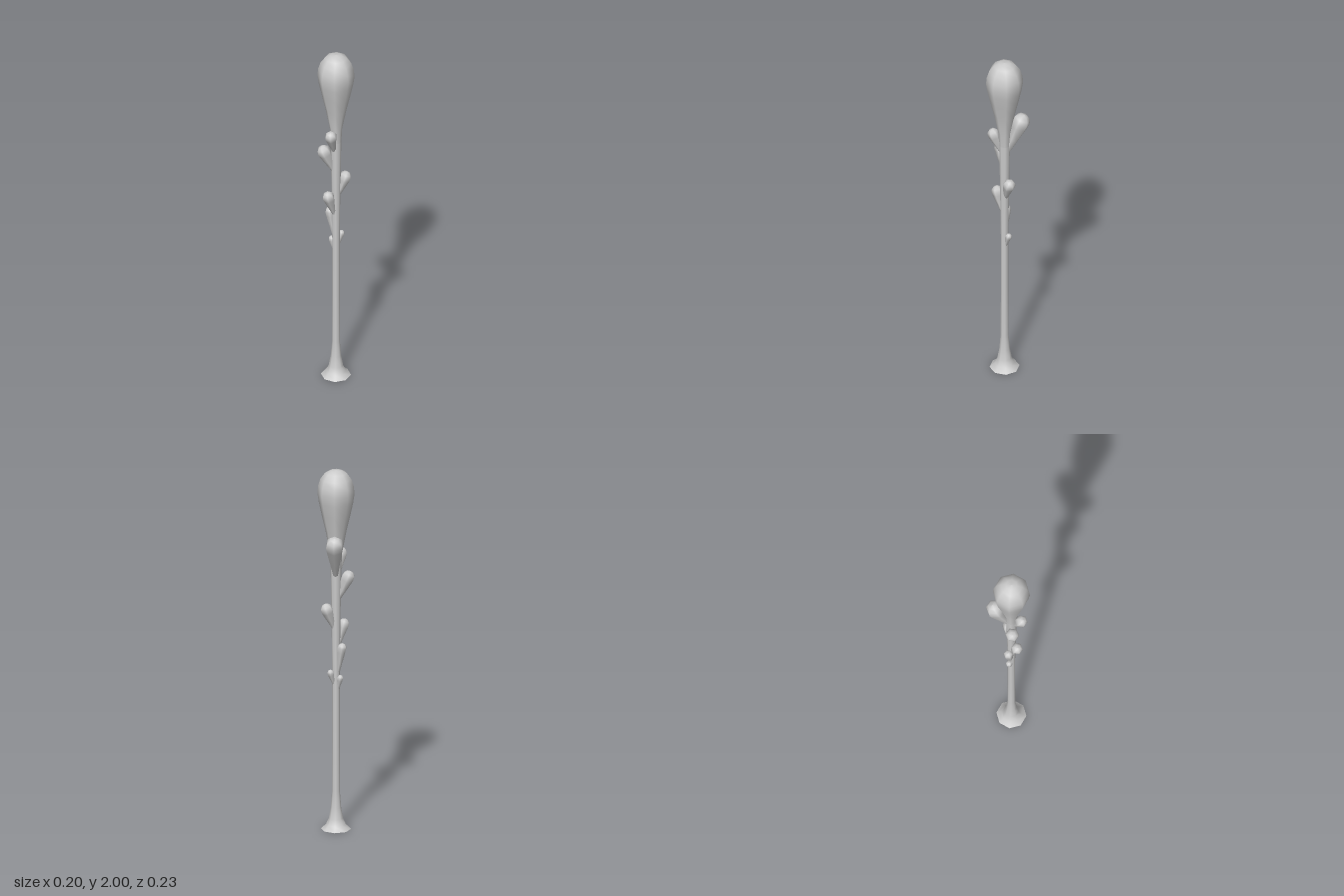
import * as THREE from 'three';

const AXIS_Z = 0.018; // the stem stands slightly forward of the centre

const material = new THREE.MeshStandardMaterial({ color: 0xcccccc, side: THREE.DoubleSide });

function lathe(name, profile, sides) {
  const points = profile.map(([r, y]) => new THREE.Vector2(r, y));
  const mesh = new THREE.Mesh(new THREE.LatheGeometry(points, sides), material);
  mesh.name = name;
  return mesh;
}

// Teardrop bud growing from a root point, with its widest ring around the head point
function bud(name, root, head, radius) {
  const start = new THREE.Vector3(...root);
  const dir = new THREE.Vector3(...head).sub(start);
  const L = dir.length();
  const r = radius;
  const mesh = lathe(name, [
    [r * 0.25, 0],
    [r * 0.6, L * 0.45],
    [r * 0.93, L * 0.85],
    [r, L],
    [r * 0.85, L + r * 0.5],
    [r * 0.48, L + r * 0.85],
    [0, L + r * 0.98],
  ], 6);
  mesh.position.copy(start);
  mesh.quaternion.setFromUnitVectors(new THREE.Vector3(0, 1, 0), dir.normalize());
  return mesh;
}

export function createModel() {
  const group = new THREE.Group();
  group.name = 'buddingStalk';

  // Stem with a flared, open foot
  const stem = lathe('stem', [
    [0.08, 0], [0.053, 0.025], [0.038, 0.06], [0.028, 0.12], [0.021, 0.21],
    [0.02, 0.5], [0.02, 0.85], [0.023, 1.1], [0.027, 1.35], [0.03, 1.52],
  ], 8);

  // Large club-shaped crown
  const crown = lathe('crown', [
    [0.027, 1.42], [0.033, 1.54], [0.056, 1.66], [0.077, 1.75], [0.092, 1.82], [0.099, 1.87],
    [0.095, 1.91], [0.082, 1.95], [0.058, 1.982], [0.03, 1.996], [0, 2],
  ], 8);

  for (const part of [stem, crown]) {
    part.position.z = AXIS_Z;
    group.add(part);
  }

  // Side buds, from the top down: root, head, radius
  const buds = [
    [[0, 1.41, 0.005], [0, 1.605, -0.069], 0.05],
    [[-0.008, 1.4, 0.03], [-0.023, 1.52, 0.074], 0.033],
    [[-0.008, 1.27, 0.02], [-0.063, 1.4, 0.03], 0.037],
    [[0.006, 1.11, 0.014], [0.047, 1.226, -0.002], 0.034],
    [[-0.006, 1.0, 0.024], [-0.038, 1.13, 0.052], 0.032],
    [[-0.008, 0.85, 0.016], [-0.033, 1.012, 0.006], 0.026],
    [[0.006, 0.79, 0.014], [0.027, 0.873, -0.001], 0.018],
    [[-0.008, 0.765, 0.016], [-0.023, 0.842, 0.008], 0.018],
  ];
  buds.forEach(([root, head, radius], i) => group.add(bud(`bud${i + 1}`, root, head, radius)));

  return group;
}
